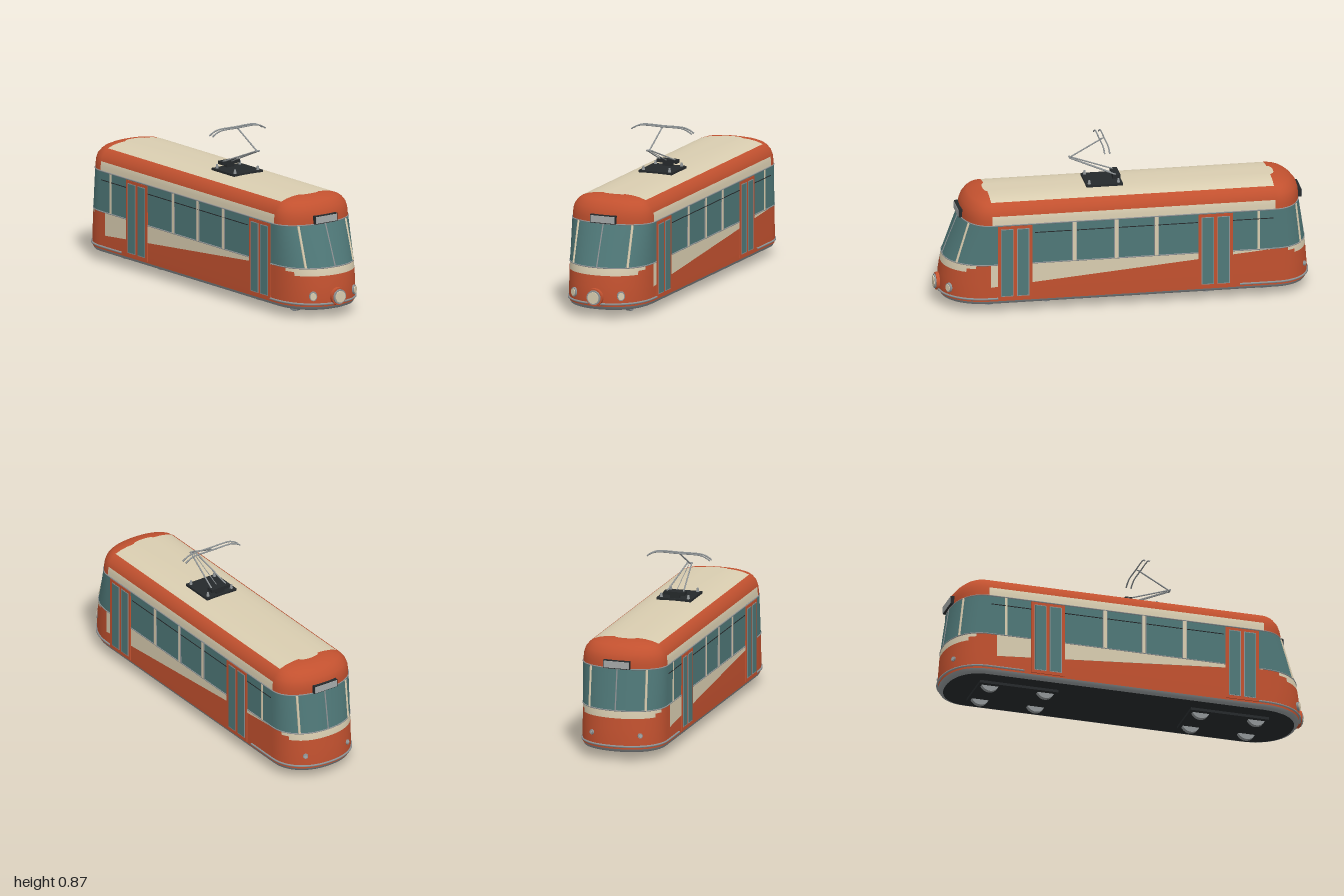
import * as THREE from 'three';

const mat = (name, color) => {
  const m = new THREE.MeshStandardMaterial({ color });
  m.name = name;
  return m;
};
const V = (x, y, z) => new THREE.Vector3(x, y, z);

export function createModel() {
  const red = mat('redPaint', 0xc2512f), cream = mat('creamPaint', 0xd9cdb0), glass = mat('tealGlass', 0x4f7878),
    metal = mat('greyMetal', 0x8f9496), dark = mat('darkUnderframe', 0x25292b), pale = mat('paleSign', 0xa6aaaa);
  const palette = [red, cream, glass, metal, dark, pale];
  const tram = new THREE.Group();
  tram.name = 'tram';

  const add = (name, geo, m, x = 0, y = 0, z = 0, parent = tram) => {
    const mesh = new THREE.Mesh(geo, m);
    mesh.name = name;
    mesh.position.set(x, y, z);
    parent.add(mesh);
    return mesh;
  };
  const box = (name, w, h, d, m, x, y, z) => add(name, new THREE.BoxGeometry(w, h, d), m, x, y, z);
  const bar = (name, a, b, r, m) => {
    const mesh = add(name, new THREE.CylinderGeometry(r, r, a.distanceTo(b), 8), m);
    mesh.position.copy(a).lerp(b, 0.5);
    mesh.quaternion.setFromUnitVectors(V(0, 1, 0), b.clone().sub(a).normalize());
    return mesh;
  };
  const tube = (name, pts, r, m, closed = false) =>
    add(name, new THREE.TubeGeometry(new THREE.CatmullRomCurve3(pts, closed), pts.length * 3, r, 6, closed), m);

  // Plan outline: straight sides with rounded ends
  const ZF = 0.72, ZB = -0.79, EXP = 2.2, M = 4, K = 28, N = 2 * (M + K);
  const ring = ([y, w, zf, zb]) => {
    const p = [];
    const pw = v => Math.sign(v) * Math.abs(v) ** (2 / EXP);
    for (let i = 0; i < M; i++) p.push(V(w, y, ZB + (ZF - ZB) * i / M));
    for (let i = 0; i < K; i++) {
      const a = Math.PI * i / K;
      p.push(V(w * pw(Math.cos(a)), y, ZF + (zf - ZF) * pw(Math.sin(a))));
    }
    for (let i = 0; i < M; i++) p.push(V(-w, y, ZF + (ZB - ZF) * i / M));
    for (let i = 0; i < K; i++) {
      const a = Math.PI * i / K;
      p.push(V(-w * pw(Math.cos(a)), y, ZB + (zb - ZB) * pw(Math.sin(a))));
    }
    return p;
  };
  // Steps into a rounded end, or -1 on a straight side
  const endStep = k => {
    const j = k % (M + K) - M;
    return j < 0 ? -1 : Math.min(j, K - 1 - j);
  };
  // Loft rings of [y, half width, front z, back z]; paint(row, column) picks the material
  const skin = (name, rows, paint, cap = 0) => {
    const pts = rows.flatMap(ring), buckets = palette.map(() => []);
    for (let r = 0; r < rows.length - 1; r++) for (let k = 0; k < N; k++) {
      const a = r * N + k, b = r * N + (k + 1) % N;
      buckets[palette.indexOf(paint(r, k))].push(a, a + N, b, b, a + N, b + N);
    }
    if (cap) {
      const base = (rows.length - 1) * N;
      pts.push(V(0, rows[rows.length - 1][0] + 0.001 * cap, 0));
      for (let k = 0; k < N; k++) {
        const a = base + k, b = base + (k + 1) % N;
        buckets[palette.indexOf(paint(rows.length - 1, k))].push(pts.length - 1, cap > 0 ? b : a, cap > 0 ? a : b);
      }
    }
    const geo = new THREE.BufferGeometry().setFromPoints(pts);
    geo.setIndex(buckets.flat());
    let start = 0;
    buckets.forEach((f, i) => {
      if (f.length) geo.addGroup(start, f.length, i);
      start += f.length;
    });
    geo.computeVertexNormals();
    return add(name, geo, palette);
  };

  // Body shell
  const rim = [[0.045, 0.205, 0.945, -0.962], [0.051, 0.22, 0.96, -0.98], [0.066, 0.228, 0.97, -0.989]];
  const lower = [rim[2], [0.1, 0.229, 0.975, -0.991], [0.17, 0.229, 0.97, -0.986], [0.23, 0.229, 0.961, -0.981],
    [0.25, 0.229, 0.957, -0.979], [0.27, 0.229, 0.952, -0.976]];
  const band = [[0.27, 0.229, 0.952, -0.976], [0.38, 0.23, 0.91, -0.96], [0.49, 0.231, 0.865, -0.943]];
  const roof = [[0.49, 0.229, 0.863, -0.943], [0.515, 0.228, 0.862, -0.943], [0.54, 0.225, 0.858, -0.941],
    [0.567, 0.216, 0.848, -0.932], [0.59, 0.198, 0.83, -0.912], [0.603, 0.18, 0.814, -0.896],
    [0.615, 0.145, 0.785, -0.87], [0.622, 0.105, 0.758, -0.843], [0.625, 0.06, 0.737, -0.815]];
  skin('underside', [rim[0]], () => dark, -1);
  skin('bottomRim', rim, () => metal);
  skin('lowerBody', lower, (r, k) => (r === 3 && endStep(k) > 4) || (r === 4 && endStep(k) > 2) ? cream : red);
  skin('windowBand', band, () => glass);
  skin('roof', roof, (r, k) => r === 8 || (endStep(k) < 0 && (r < 2 || r > 4)) ? cream : red, 1);

  // Point on a rounded end at a given x and height
  const profile = [...lower, ...band];
  const endPoint = (x, y, s) => {
    let i = 0;
    while (i < profile.length - 2 && profile[i + 1][0] < y) i++;
    const a = profile[i], b = profile[i + 1], t = b[0] === a[0] ? 0 : (y - a[0]) / (b[0] - a[0]);
    const c = s > 0 ? 2 : 3, z0 = s > 0 ? ZF : ZB, ze = a[c] + (b[c] - a[c]) * t;
    const w = a[1] + (b[1] - a[1]) * t;
    return V(x, y, z0 + (ze - z0) * (1 - Math.abs(x / w) ** EXP) ** (1 / EXP));
  };

  // Window edge lines
  for (const r of [band[0], band[2]]) tube('windowEdge', ring(r), 0.0035, metal, true);

  // Both ends: window posts, bumper trim and destination box
  for (const s of [1, -1]) {
    for (const x of [-0.155, 0.155]) bar('endWindowPost', endPoint(x, 0.272, s), endPoint(x, 0.488, s), 0.007, cream);
    bar('centreWindowPost', endPoint(0, 0.272, s), endPoint(0, 0.488, s), 0.004, metal);
    const wrap = ring([0.081, 0.23, 0.977, -0.993]);
    const i0 = s > 0 ? M : 2 * M + K;
    const arc = wrap.slice(i0, i0 + K);
    const inner = s > 0 ? 0.69 : -0.6;
    tube('bumperTrim', [V(s * 0.23, 0.081, inner), ...arc, V(-s * 0.23, 0.081, inner)], 0.006, metal);
    const zs = s > 0 ? 0.85 : -0.93;
    box('signFrame', 0.146, 0.044, 0.05, dark, 0, 0.514, zs);
    box('signPanel', 0.138, 0.036, 0.004, pale, 0, 0.514, zs + s * 0.026);
  }

  // Lamps: stacked discs facing outward
  const lamp = (name, pos, yaw, discs, stretch = 1) => {
    const g = new THREE.Group();
    g.name = name;
    g.position.copy(pos);
    g.rotation.y = yaw;
    g.scale.y = stretch;
    for (const [part, r, z, depth, m] of discs)
      add(part, new THREE.CylinderGeometry(r * 0.94, r, depth, 28).rotateX(Math.PI / 2), m, 0, 0, z, g);
    tram.add(g);
  };
  lamp('centreHeadlight', V(0, 0.115, 0.97), 0, [['lampHousing', 0.05, 0, 0.034, red],
    ['lampRing', 0.041, 0.009, 0.032, metal], ['lampLens', 0.033, 0.014, 0.032, cream]]);
  for (const x of [-0.133, 0.133]) {
    lamp('sideHeadlight', endPoint(x, 0.125, 1), x * 4, [['lampRing', 0.022, 0, 0.018, metal],
      ['lampLens', 0.017, 0.003, 0.02, cream]], 1.2);
    lamp('tailLight', endPoint(x, 0.14, -1), Math.PI - x * 4, [['lampRing', 0.014, 0, 0.014, metal],
      ['lampLens', 0.009, 0.002, 0.016, pale]]);
  }

  // Sides: sweeping cream flash, posts, rails and doors
  for (const s of [1, -1]) {
    const flash = s > 0 ? [[0.73, 0.27], [0.73, 0.145], [-0.78, 0.268], [-0.78, 0.27]]
      : [[-0.75, 0.27], [-0.75, 0.145], [0.73, 0.268], [0.73, 0.27]];
    const shape = new THREE.Shape(flash.map(([z, y]) => new THREE.Vector2(-z, y)));
    const geo = new THREE.ExtrudeGeometry(shape, { depth: 0.003, bevelEnabled: false });
    add('creamFlash', geo.rotateY(Math.PI / 2), cream, s * 0.229 - 0.0015, 0, 0);

    for (const z of [0.283, 0.059, -0.155]) {
      box('windowPost', 0.006, 0.216, 0.018, cream, s * 0.23, 0.38, z);
      for (const d of [-0.011, 0.011]) box('windowFrame', 0.007, 0.216, 0.004, metal, s * 0.23, 0.38, z + d);
    }
    box('rearWindowPost', 0.006, 0.216, 0.012, cream, s * 0.23, 0.38, -0.7);
    box('windowRail', 0.004, 0.004, 0.87, dark, s * 0.231, 0.442, 0.06);
    box('rearWindowRail', 0.004, 0.004, 0.22, dark, s * 0.231, 0.442, -0.67);

    for (const z of [0.6, -0.47]) {
      box('doorFrame', 0.01, 0.41, 0.184, red, s * 0.229, 0.28, z);
      for (const d of [-0.042, 0.042]) {
        box('doorLeafTrim', 0.004, 0.378, 0.066, metal, s * 0.2335, 0.281, z + d);
        box('doorGlass', 0.004, 0.37, 0.058, glass, s * 0.2345, 0.281, z + d);
      }
    }
  }

  // Bogies and wheels
  for (const z of [0.565, -0.595]) {
    box('bogie', 0.25, 0.016, 0.43, dark, 0, 0.038, z);
    for (const dz of [-0.153, 0.153]) for (const x of [-0.089, 0.089])
      add('wheel', new THREE.CylinderGeometry(0.05, 0.05, 0.024, 24).rotateZ(Math.PI / 2), metal, x, 0.05, z + dz);
  }

  // Current collector on the roof
  box('collectorBase', 0.19, 0.012, 0.195, dark, 0, 0.63, 0.098);
  for (const x of [-0.075, 0.075]) for (const z of [0.022, 0.178])
    add('insulator', new THREE.CylinderGeometry(0.005, 0.009, 0.022, 10), metal, x, 0.646, z);
  box('collectorPivot', 0.116, 0.018, 0.04, dark, 0, 0.662, 0.028);
  box('pivotFoot', 0.05, 0.025, 0.03, dark, 0, 0.645, 0.028);
  for (const x of [-1, 1]) bar('lowerArm', V(x * 0.045, 0.668, 0.03), V(x * 0.012, 0.764, 0.27), 0.004, metal);
  bar('controlRod', V(0, 0.668, 0.05), V(0, 0.758, 0.255), 0.002, metal);
  bar('elbow', V(-0.016, 0.764, 0.27), V(0.016, 0.764, 0.27), 0.005, metal);
  bar('upperArm', V(0, 0.764, 0.27), V(0, 0.858, 0.1), 0.004, metal);
  bar('headLink', V(0, 0.86, 0.084), V(0, 0.86, 0.114), 0.003, metal);
  for (const z of [0.085, 0.112])
    tube('contactBar', [V(-0.175, 0.835, z), V(-0.15, 0.85, z), V(-0.12, 0.86, z), V(0, 0.861, z),
      V(0.12, 0.86, z), V(0.15, 0.85, z), V(0.175, 0.835, z)], 0.004, metal);

  return tram;
}
